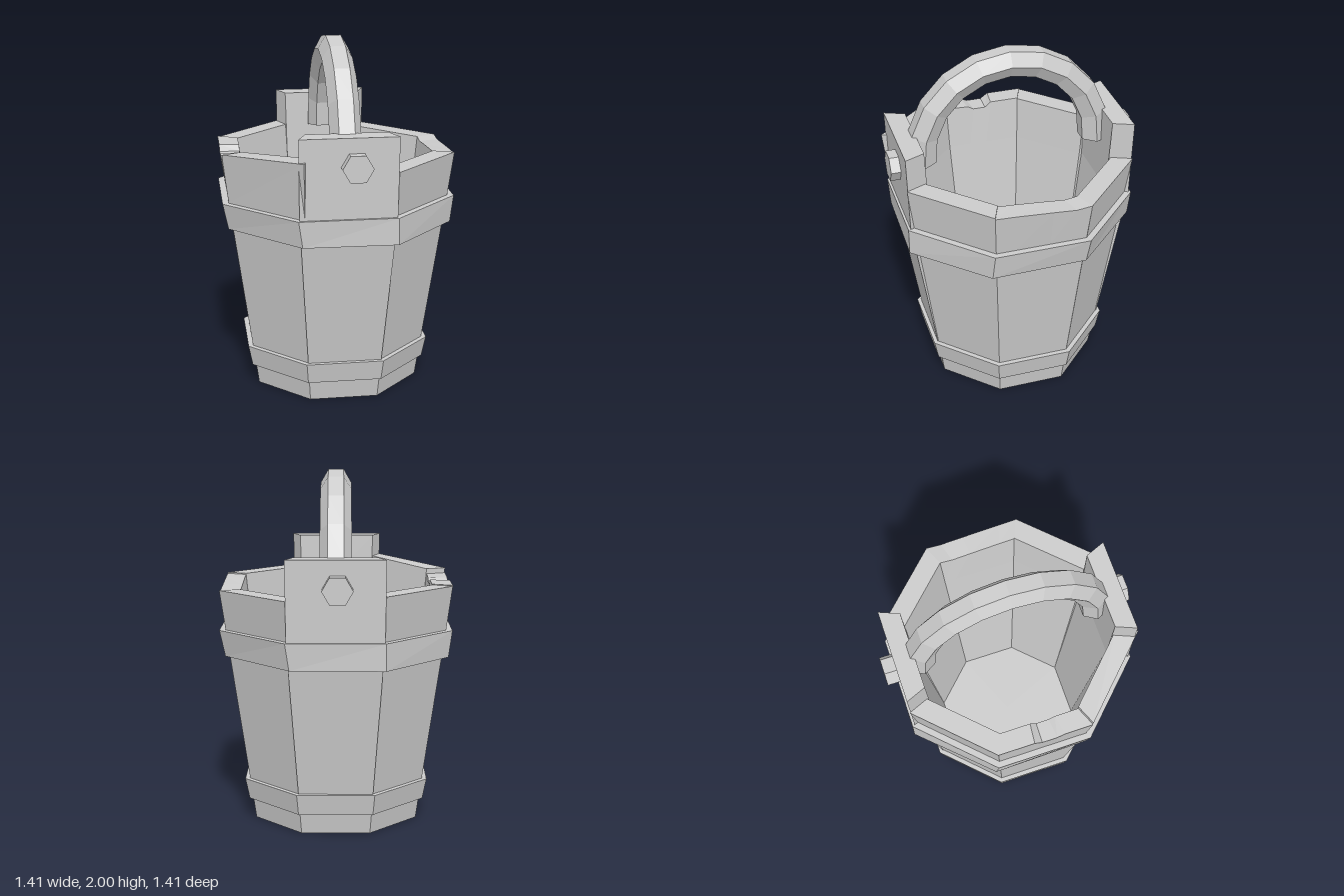
import * as THREE from 'three';

const material = new THREE.MeshStandardMaterial({ color: 0xcccccc, flatShading: true, side: THREE.DoubleSide });
const V = (x, y, z) => new THREE.Vector3(x, y, z);

// Skin a row of equal-length closed cross-sections, with optional flat ends
function loft(sections, capped) {
  const pos = [];
  const tri = (...pts) => pts.forEach((p) => pos.push(p.x, p.y, p.z));
  for (let i = 0; i < sections.length - 1; i++) {
    const s = sections[i], e = sections[i + 1];
    for (let j = 0; j < s.length; j++) {
      const k = (j + 1) % s.length;
      tri(s[j], s[k], e[j]);
      tri(s[k], e[k], e[j]);
    }
  }
  if (capped) {
    const s = sections[0], e = sections[sections.length - 1];
    for (let j = 1; j < s.length - 1; j++) {
      tri(s[0], s[j + 1], s[j]);
      tri(e[0], e[j], e[j + 1]);
    }
  }
  const g = new THREE.BufferGeometry();
  g.setAttribute('position', new THREE.Float32BufferAttribute(pos, 3));
  g.computeVertexNormals();
  return g;
}

const corner = (k) => V(Math.cos(k * Math.PI / 4), 0, Math.sin(k * Math.PI / 4));

// One stave: tops = [position across the stave 0..1, top height]
function stave(k, tops, kneeRadius, lean) {
  const sections = tops.map(([t, top]) => {
    const at = (r, y) => {
      const shift = t === 0 ? lean * y / 1.44 : 0;
      const p = corner(k).lerp(corner(k + 1), t - shift).multiplyScalar(r);
      p.y = y;
      return p;
    };
    return [at(0.5, 0), at(kneeRadius, 1.12), at(0.702, top), at(0.58, top), at(kneeRadius * 0.83, 1.12), at(0.415, 0)];
  });
  return loft(sections, true);
}

// Eight-sided hoop; the lower edge may be stretched in z
function hoop(y0, r0, y1, r1, inner, stretch) {
  const sections = [];
  for (let k = 0; k <= 8; k++) {
    const c = corner(k);
    const at = (r, y, sz = 1) => V(c.x * r, y, c.z * r * sz);
    sections.push([at(r0, y0, stretch), at(r1, y1), at(inner, y1), at(inner, y0)]);
  }
  return loft(sections, false);
}

export function createModel() {
  const group = new THREE.Group();
  const add = (name, geometry) => {
    const mesh = new THREE.Mesh(geometry, material);
    mesh.name = name;
    group.add(mesh);
    return mesh;
  };

  // Staves, starting at +x and going round towards the front; two are tall ears
  const ear = [[0, 1.565], [1, 1.565]];
  const staveTops = [
    [[0, 1.345], [0.16, 1.335], [0.4, 1.345], [0.8, 1.36], [1, 1.365]],
    [[0, 1.372], [1, 1.372]],
    ear,
    [[0, 1.44], [1, 1.4]],
    [[0, 1.37], [0.3, 1.365], [0.38, 1.345], [0.54, 1.345], [0.62, 1.375], [1, 1.375]],
    [[0, 1.37], [1, 1.37]],
    ear,
    [[0, 1.345], [1, 1.345]],
  ];
  staveTops.forEach((tops, k) => {
    const tall = tops === ear;
    add(tall ? 'earStave' : 'stave', stave(k, tops, tall ? 0.69 : 0.667, k === 3 ? 0.07 : 0));
  });

  // Floor
  const floor = add('floor', new THREE.CylinderGeometry(0.44, 0.44, 0.02, 8));
  floor.position.y = 0.012;

  // Hoops
  add('lowerHoop', hoop(0.12, 0.54, 0.24, 0.565, 0.48, 1));
  add('upperHoop', hoop(0.97, 0.672, 1.12, 0.705, 0.6, 1.05));

  // Handle: a six-sided bar bent in an arc between the ears
  const toFront = corner(2.5);
  const side = V(0, 1, 0).cross(toFront);
  const sections = [];
  const steps = 10;
  for (let i = 0; i <= steps; i++) {
    const a = THREE.MathUtils.degToRad(-5 + 190 * i / steps);
    const radial = toFront.clone().multiplyScalar(Math.cos(a)).add(V(0, Math.sin(a), 0));
    const centre = radial.clone().multiplyScalar(0.505).add(V(0, 1.42, 0));
    const ring = [];
    for (let j = 0; j < 6; j++) {
      const b = Math.PI / 6 + j * Math.PI / 3;
      ring.push(centre.clone()
        .addScaledVector(radial, 0.086 * Math.cos(b))
        .addScaledVector(side, 0.086 * Math.sin(b)));
    }
    sections.push(ring);
  }
  add('handle', loft(sections, true));

  // Hexagonal bolts through the ears
  for (const [sign, reach, offset] of [[1, 0.7, 0.04], [-1, 0.715, -0.01]]) {
    const out = toFront.clone().multiplyScalar(sign);
    const length = reach - 0.57;
    const geometry = new THREE.CylinderGeometry(0.084, 0.084, length, 6);
    geometry.rotateY(Math.PI / 6).rotateX(Math.PI / 2);
    const bolt = add('bolt', geometry);
    bolt.position.copy(out).multiplyScalar(reach - length / 2).addScaledVector(side, offset);
    bolt.position.y = 1.408;
    bolt.rotation.y = Math.atan2(out.x, out.z);
  }
  return group;
}
